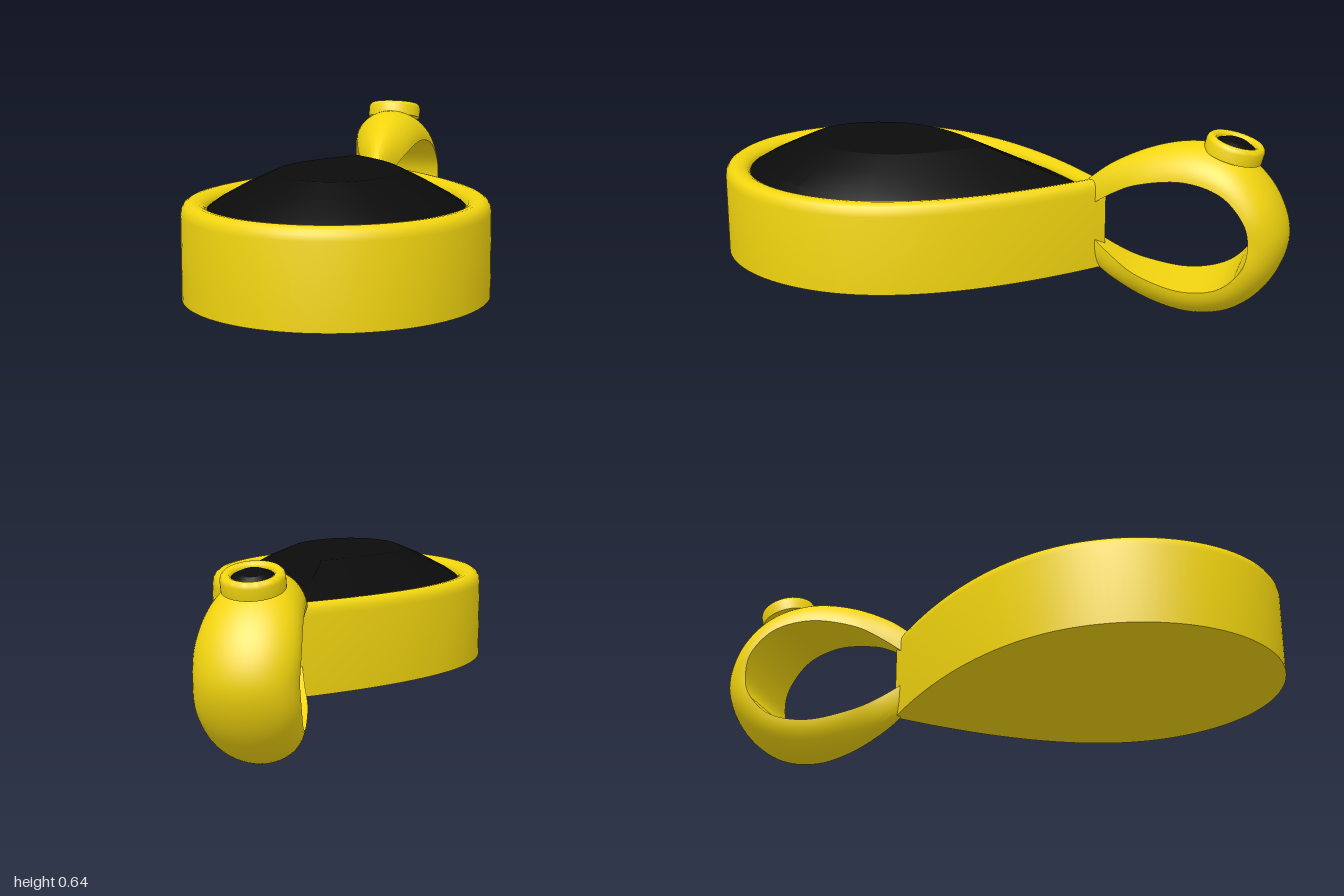
import * as THREE from 'three';
import { toCreasedNormals } from 'three/addons/utils/BufferGeometryUtils.js';

const gold = new THREE.MeshStandardMaterial({ color: 0xf2d50f });
const black = new THREE.MeshStandardMaterial({ color: 0x0b0b0b });

// Skin a list of closed rings (arrays of Vector3) and cap both ends
function loft(rings, crease) {
  const n = rings[0].length, last = rings.length - 1, pos = [];
  const tri = (...pts) => pts.forEach(p => pos.push(p.x, p.y, p.z));
  const centre = ring => ring.reduce((s, p) => s.add(p), new THREE.Vector3()).divideScalar(n);
  const c0 = centre(rings[0]), c1 = centre(rings[last]);
  for (let j = 0; j < n; j++) {
    const k = (j + 1) % n;
    for (let i = 0; i < last; i++) {
      const a = rings[i][j], b = rings[i][k], c = rings[i + 1][k], d = rings[i + 1][j];
      tri(a, d, c);
      tri(a, c, b);
    }
    tri(c0, rings[0][j], rings[0][k]);
    tri(c1, rings[last][k], rings[last][j]);
  }
  const g = new THREE.BufferGeometry();
  g.setAttribute('position', new THREE.Float32BufferAttribute(pos, 3));
  g.computeVertexNormals();
  return toCreasedNormals(g, crease);
}

// Pear outline at height y: pointed at z = tip, widest (hw) at z = mid, round end at z = end
function pear(hw, tip, mid, end, y, n) {
  const L = mid - tip;
  const curve = new THREE.CubicBezierCurve(
    new THREE.Vector2(0, tip), new THREE.Vector2(hw * 0.5, tip + L * 0.27),
    new THREE.Vector2(hw, mid - L * 0.37), new THREE.Vector2(hw, mid));
  return Array.from({ length: n }, (_, j) => {
    const t = j / n, u = t <= 0.5 ? 2 * t : 2 - 2 * t, side = t <= 0.5 ? 1 : -1;
    if (u < 0.5) {
      const p = curve.getPoint(2 * u);
      return new THREE.Vector3(side * p.x, y, p.y);
    }
    const a = (u - 0.5) * Math.PI;
    return new THREE.Vector3(side * hw * Math.cos(a), y, mid + (end - mid) * Math.sin(a));
  });
}

// Loop section: flat inside, half-elliptic outside, tapering toward the pear tip
function bailGeometry() {
  // each row: outer z, outer y, inner z, inner y, half width
  const half = [
    [-0.29, 0.425, -0.29, 0.33, 0.015], [-0.4, 0.51, -0.4, 0.41, 0.055],
    [-0.55, 0.578, -0.5, 0.462, 0.092], [-0.7, 0.6, -0.65, 0.492, 0.125],
    [-0.84, 0.56, -0.78, 0.465, 0.15], [-0.95, 0.45, -0.86, 0.385, 0.165],
    [-1, 0.3, -0.88, 0.3, 0.165]];
  const mirrored = half.slice(0, -1).reverse().map(([a, b, c, d, w]) => [a, 0.6 - b, c, 0.6 - d, w]);
  const rows = [...half, ...mirrored];
  const outer = new THREE.CatmullRomCurve3(rows.map(r => new THREE.Vector3(r[4], r[1], r[0])), false, 'catmullrom');
  const inner = new THREE.CatmullRomCurve3(rows.map(r => new THREE.Vector3(r[4], r[3], r[2])), false, 'catmullrom');
  const rings = [], steps = 96, seg = 24;
  for (let i = 0; i <= steps; i++) {
    const o = outer.getPoint(i / steps), q = inner.getPoint(i / steps), ring = [];
    for (let j = 0; j <= seg; j++) {
      const a = Math.PI * j / seg;
      const p = q.clone().lerp(o, Math.sin(a));
      p.x = o.x * Math.cos(a);
      ring.push(p);
    }
    rings.push(ring);
  }
  return loft(rings, 0.7);
}

export function createModel() {
  const model = new THREE.Group();
  const add = (name, geometry, material, parent = model) => {
    const mesh = new THREE.Mesh(geometry, material);
    mesh.name = name;
    parent.add(mesh);
    return mesh;
  };

  // Bezel: straight wall with a rounded rim; k runs from outer (0) to inner (1) outline
  const rim = [[0, 0.127], [0, 0.4], [0.04, 0.418], [0.13, 0.431], [0.27, 0.439], [0.42, 0.441],
    [0.65, 0.438], [0.85, 0.429], [0.96, 0.415], [1, 0.38]];
  add('bezel', loft(rim.map(([k, y]) =>
    pear(0.497 - 0.087 * k, -0.37 + 0.09 * k, 0.45, 1 - 0.09 * k, y, 128)), 0.7), gold);

  // Main stone: faceted crown rising to a flat table
  const crown = [[0.415, -0.285, 0.45, 0.915, 0.412], [0.375, -0.19, 0.45, 0.87, 0.44],
    [0.29, -0.05, 0.44, 0.775, 0.487], [0.2, 0.06, 0.42, 0.69, 0.527]];
  add('mainStone', loft(crown.map(c => pear(...c, 32)), 0.15), black);

  add('bail', bailGeometry(), gold);

  // Small round setting, tilted back on top of the bail
  const setting = new THREE.Group();
  setting.name = 'smallSetting';
  setting.position.set(0, 0.617, -0.81);
  setting.rotation.x = -0.25;
  model.add(setting);
  const profile = [[0, -0.055], [0.1, -0.055], [0.1, -0.018], [0.097, -0.008], [0.09, -0.001], [0.08, 0],
    [0.071, -0.004], [0.066, -0.012], [0.065, -0.035]].map(p => new THREE.Vector2(...p));
  add('smallCollar', toCreasedNormals(new THREE.LatheGeometry(profile, 48), 0.7), gold, setting);
  const stone = add('smallStone', new THREE.CylinderGeometry(0.04, 0.066, 0.014, 32), black, setting);
  stone.position.y = -0.009;

  return model;
}
